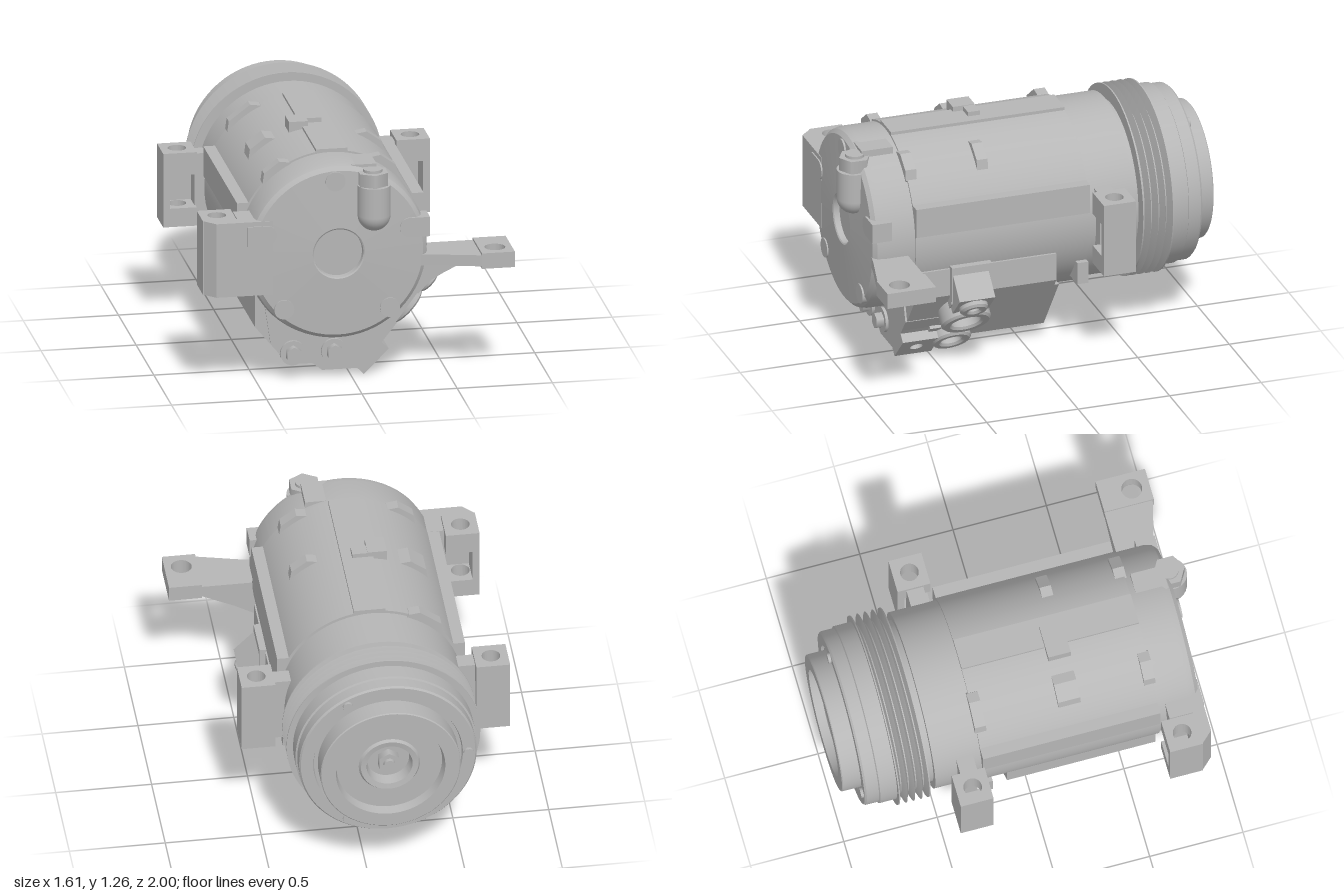
import * as THREE from 'three';
import { toCreasedNormals } from 'three/addons/utils/BufferGeometryUtils.js';

const CX = -0.105, CY = 0.745; // main axis, running along z
const metal = new THREE.MeshStandardMaterial({ color: 0xb6b6b6 });
metal.name = 'cast aluminium';

export function createModel() {
  const model = new THREE.Group();
  model.name = 'compressor';

  const add = (name, geo, parent = model) => {
    const m = new THREE.Mesh(geo, metal);
    m.name = name;
    parent.add(m);
    return m;
  };
  const box = (name, x0, x1, y0, y1, z0, z1, parent) => add(name,
    new THREE.BoxGeometry(x1 - x0, y1 - y0, z1 - z0)
      .translate((x0 + x1) / 2, (y0 + y1) / 2, (z0 + z1) / 2), parent);
  const lathe = (pts, seg = 72) => toCreasedNormals(
    new THREE.LatheGeometry(pts.map(p => new THREE.Vector2(...p)), seg), 0.5);
  // turned part around the main axis; points are [radius, z]
  const turned = (name, pts) => add(name, lathe(pts).rotateX(Math.PI / 2).translate(CX, CY, 0));
  const disc = (name, x, y, z0, z1, r, seg = 32) => add(name,
    new THREE.CylinderGeometry(r, r, z1 - z0, seg).rotateX(Math.PI / 2).translate(x, y, (z0 + z1) / 2));
  const polygon = (pts, hole) => {
    const s = new THREE.Shape(pts.map(p => new THREE.Vector2(...p)));
    if (hole) s.holes.push(new THREE.Path().absarc(hole[0], hole[1], hole[2], 0, Math.PI * 2, true));
    return s;
  };
  const extrude = (shape, depth) => toCreasedNormals(
    new THREE.ExtrudeGeometry(shape, { depth, bevelEnabled: false, curveSegments: 24 }), 0.5);
  const alongZ = (name, shape, z0, z1) => add(name, extrude(shape, z1 - z0).translate(0, 0, z0));
  // plan outline in x, z extruded between two heights
  const upright = (name, shape, y0, y1, parent) => add(name,
    extrude(shape, y1 - y0).rotateX(Math.PI / 2).translate(0, y1, 0), parent);

  // Housing with dished front head
  turned('housing', [
    [0, -0.53], [0.47, -0.53], [0.47, -0.28], [0.485, -0.28], [0.485, 0.67], [0.475, 0.67],
    [0.475, 0.84], [0.466, 0.875], [0.445, 0.895], [0.137, 0.91], [0.13, 0.905], [0.128, 0.875], [0, 0.875]]);

  // Pulley and clutch: stepped rear face, rim, ribbed belt track
  const pulley = [
    [0, -0.9], [0.11, -0.9], [0.12, -0.96], [0.15, -0.965], [0.16, -0.95], [0.275, -0.95],
    [0.285, -1], [0.36, -1], [0.365, -0.995], [0.365, -0.89], [0.385, -0.89], [0.39, -0.905],
    [0.455, -0.905], [0.463, -0.895], [0.463, -0.83], [0.472, -0.825], [0.472, -0.735], [0.505, -0.735]];
  for (let i = 0; i < 4; i++) {
    const z = -0.728 + i * 0.04;
    pulley.push([0.505, z], [0.45, z + 0.016], [0.45, z + 0.022], [i < 3 ? 0.495 : 0.505, z + 0.036]);
  }
  pulley.push([0.505, -0.565], [0.43, -0.565], [0.43, -0.52]);
  turned('pulley', pulley);
  disc('shaft nut', CX, CY, -0.945, -0.89, 0.06, 6);
  disc('shaft end', CX, CY, -0.965, -0.94, 0.03, 20);
  for (let i = 0; i < 3; i++) {
    const a = Math.PI / 3 + i * Math.PI * 2 / 3;
    disc('clutch rivet', CX + 0.42 * Math.cos(a), CY + 0.42 * Math.sin(a), -0.92, -0.89, 0.027, 20);
  }

  // Side pads and top strip
  box('left pad', 0.2, 0.385, 0.81, 0.97, -0.28, 0.67);
  box('right pad', -0.595, -0.41, 0.81, 0.97, -0.28, 0.67);
  box('top strip', -0.18, -0.015, 1.1, 1.238, -0.28, 0.67);
  box('top stud', -0.25, -0.15, 1.15, 1.265, 0.165, 0.285);
  box('top stud arm', -0.16, -0.07, 1.15, 1.262, 0.165, 0.23);

  // Raised clips around the upper housing
  for (const [deg, z, w, d] of [[127, -0.26, 0.22, 0.06], [127, 0.22, 0.18, 0.12], [127, 0.65, 0.18, 0.06],
    [54, 0.26, 0.18, 0.06], [54, 0.65, 0.18, 0.06]]) {
    const clip = polygon([[-w / 2, 0.45], [w / 2, 0.45], [w / 2, 0.475], [w / 2 - 0.04, 0.515], [-w / 2 + 0.04, 0.515], [-w / 2, 0.475]]);
    const m = alongZ('housing clip', clip, z - d / 2, z + d / 2);
    m.position.set(CX, CY, 0);
    m.rotation.z = (deg - 90) * Math.PI / 180;
  }

  // Bosses on the front head
  for (const [x, y] of [[-0.12, 1.135], [-0.39, 0.455], [0.165, 0.435]])
    disc('head boss', x, y, 0.8, 0.906, 0.052);
  for (const s of [-1, 1]) {
    const d = new THREE.Shape();
    d.moveTo(0.48, 0.81).lineTo(0.48, 0.915).lineTo(0.375, 0.915);
    d.absarc(0.375, 0.8625, 0.0525, Math.PI / 2, Math.PI * 1.5, false);
    const pts = d.getPoints(12).map(p => [CX + s * p.x, p.y]);
    alongZ('head pad', polygon(pts), 0.8, 0.907);
  }

  // Lower sump and its bolts
  const sump = [[-0.5, 0.6], [-0.5, 0.29], [-0.33, 0.085], [0.1, 0.085], [0.37, 0.45], [0.37, 0.6]];
  alongZ('sump', polygon(sump), -0.1, 0.67);
  alongZ('sump rear step', polygon([[-0.5, 0.41], [-0.5, 0.29], [-0.33, 0.085], [0.1, 0.085], [0.34, 0.41]]), -0.125, -0.09);
  alongZ('sump front flange', polygon([[-0.45, 0.4], [-0.42, 0.2], [-0.33, 0.085], [-0.2, 0.08], [-0.15, 0.04],
    [0.06, 0.04], [0.24, 0.27], [0.2, 0.4]]), 0.45, 0.68);
  for (const x of [-0.305, -0.09]) {
    disc('sump bolt flange', x, 0.145, 0.66, 0.695, 0.066);
    disc('sump bolt head', x, 0.145, 0.69, 0.735, 0.043, 6);
  }

  // Port block on the slanted lower side; local y points out of the ports
  const ports = new THREE.Group();
  ports.name = 'port block';
  ports.position.set(0.335, 0.27, 0);
  ports.rotation.z = -Math.PI * 0.75;
  model.add(ports);
  const ring = (name, s, z, r, bore, y0, y1, depth) => add(name, lathe([
    [r, y0], [r, y1 - 0.012], [r - 0.012, y1], [bore + 0.012, y1], [bore, y1 - 0.012], [bore, y1 - depth], [0, y1 - depth]], 40)
    .translate(s, 0, z), ports);
  ring('large port', 0, 0.38, 0.132, 0.078, -0.16, 0.01, 0.06);
  ring('small port', 0.25, 0.4, 0.105, 0.056, -0.14, 0.01, 0.06);
  box('port bridge', -0.14, 0.25, -0.16, -0.055, 0.3, 0.48, ports);
  const tab = new THREE.Group();
  tab.name = 'port bolt tab';
  ports.add(tab);
  const plate = polygon([[0.19, 0.48], [0.375, 0.48], [0.375, 0.68], [0.19, 0.68]], [0.275, 0.585, 0.034]);
  upright('tab plate', plate, -0.085, 0, tab);
  box('tab root', 0.15, 0.3, -0.15, -0.04, 0.38, 0.53, tab);
  box('upper port lug', -0.26, -0.1, -0.17, -0.02, 0.28, 0.475, ports);
  ring('upper lug bolt', -0.175, 0.38, 0.075, 0.03, -0.1, 0.012, 0.03);
  box('port root', 0.25, 0.4, 0.42, 0.615, 0.26, 0.48);

  // Mounting lugs: hollow box open toward the body and along dir
  const lug = (name, side, z, dir) => {
    const g = new THREE.Group();
    g.name = name;
    model.add(g);
    const x = CX + side * 0.612, h = 0.088;
    const sq = polygon([[x - h, z - h], [x + h, z - h], [x + h, z + h], [x - h, z + h]], [x, z, 0.048]);
    upright('lug top', sq, 0.82, 0.94, g);
    upright('lug bottom', sq, 0.54, 0.64, g);
    const xo = x + side * h, xi = xo - side * 0.036;
    box('lug outer wall', Math.min(xo, xi), Math.max(xo, xi), 0.6, 0.86, z - h, z + h, g);
    const zo = z - dir * h, zi = zo + dir * 0.036;
    box('lug end wall', x - h, x + h, 0.6, 0.86, Math.min(zo, zi), Math.max(zo, zi), g);
  };
  lug('rear left lug', 1, -0.37, 1);
  lug('rear right lug', -1, -0.37, 1);
  lug('front right lug', -1, 0.752, -1);
  for (const s of [-1, 1]) {
    const a = CX + s * 0.38, b = CX + s * 0.53;
    box('rear lug web', Math.min(a, b), Math.max(a, b), 0.56, 0.92, -0.41, -0.32);
    box('rear lug foot', CX + s * 0.4 - 0.06, CX + s * 0.4 + 0.06, 0.4, 0.52, -0.28, -0.22);
  }
  upright('front right bracket', polygon([[-0.805, 0.835], [-0.745, 0.9], [-0.45, 0.9], [-0.45, 0.71],
    [-0.625, 0.71], [-0.625, 0.835]]), 0.54, 0.94);

  // Front left arm with gusset
  upright('front left arm', polygon([[0.25, 0.71], [0.64, 0.71], [0.64, 0.97], [0.4, 0.91], [0.25, 0.88]]), 0.65, 0.71);
  upright('front left arm eye', polygon([[0.635, 0.71], [0.808, 0.71], [0.808, 0.975], [0.635, 0.975]],
    [0.72, 0.88, 0.054]), 0.638, 0.722);
  alongZ('front left gusset', polygon([[0.16, 0.4], [0.33, 0.49], [0.47, 0.57], [0.64, 0.65], [0.64, 0.69],
    [0.38, 0.7], [0.2, 0.75]]), 0.71, 0.79);

  // Relief valve on the front head
  add('valve body', new THREE.CapsuleGeometry(0.086, 0.07, 10, 28).translate(0.08, 0.985, 0.91));
  add('valve neck', new THREE.CylinderGeometry(0.086, 0.086, 0.1, 28).translate(0.08, 1.06, 0.91));
  add('valve nut', new THREE.CylinderGeometry(0.085, 0.085, 0.07, 6).translate(0.075, 1.145, 0.9));
  add('valve cap', new THREE.CylinderGeometry(0.05, 0.05, 0.03, 24).translate(0.075, 1.18, 0.9));
  box('valve seat', -0.03, 0.1, 1.08, 1.21, 0.7, 0.87);

  return model;
}
